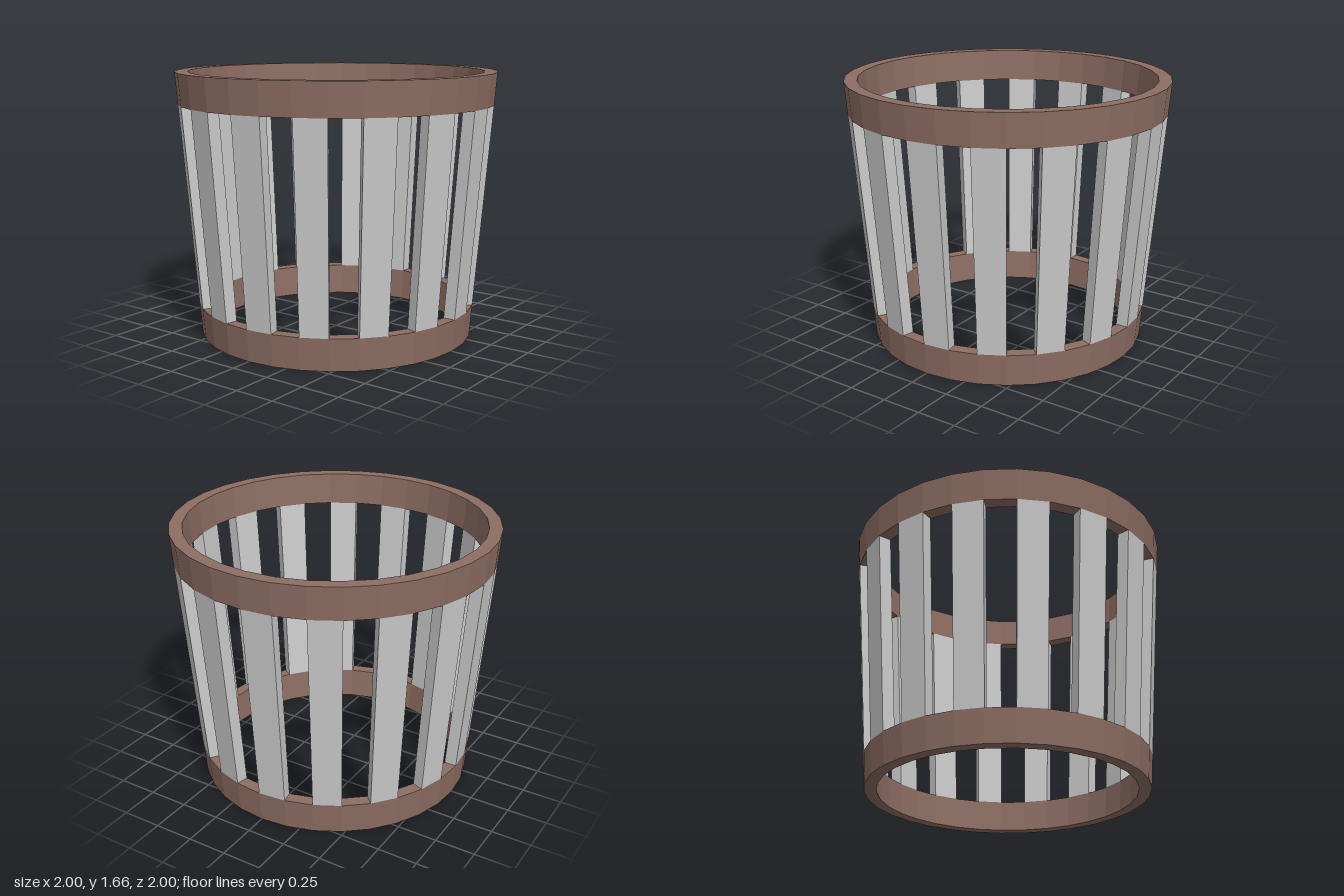
import * as THREE from 'three';

const HEIGHT = 1.66, BAND = 0.2, SIDES = 32;
const STEP = (Math.PI * 2) / SIDES;

// Tapered wall: outer and inner radius at a given height
const outer = (y) => 0.866 + (0.134 * y) / HEIGHT;
const inner = (y) => 0.79 + (0.13 * y) / HEIGHT;

// Faceted hoop following the wall between two heights
function hoop(name, y0, y1, material) {
  const profile = [
    [outer(y0), y0], [outer(y1), y1], [inner(y1), y1], [inner(y0), y0], [outer(y0), y0],
  ].map(([r, y]) => new THREE.Vector2(r, y));
  const geometry = new THREE.LatheGeometry(profile, SIDES).toNonIndexed();
  geometry.computeVertexNormals();
  const mesh = new THREE.Mesh(geometry, material);
  mesh.name = name;
  return mesh;
}

// One slat: a box bent onto a single facet of the wall, between the hoops
function slatGeometry() {
  const geometry = new THREE.BoxGeometry(1, 1, 1);
  const p = geometry.attributes.position;
  for (let i = 0; i < p.count; i++) {
    const y = p.getY(i) > 0 ? HEIGHT - BAND : BAND;
    const r = p.getZ(i) > 0 ? outer(y) : inner(y);
    const angle = (p.getX(i) + 0.5) * STEP;
    p.setXYZ(i, r * Math.sin(angle), y, r * Math.cos(angle));
  }
  const flat = geometry.toNonIndexed();
  flat.computeVertexNormals();
  return flat;
}

export function createModel() {
  const basket = new THREE.Group();
  basket.name = 'slattedBasket';
  const wood = new THREE.MeshStandardMaterial({ color: 0x8d6e63, flatShading: true });
  const grey = new THREE.MeshStandardMaterial({ color: 0xcccccc, flatShading: true });

  basket.add(hoop('bottomHoop', 0, BAND, wood));
  basket.add(hoop('topHoop', HEIGHT - BAND, HEIGHT, wood));

  // Slats on every other facet
  const slats = new THREE.Group();
  slats.name = 'slats';
  const geometry = slatGeometry();
  for (let i = 0; i < SIDES; i += 2) {
    const slat = new THREE.Mesh(geometry, grey);
    slat.name = 'slat';
    slat.rotation.y = i * STEP;
    slats.add(slat);
  }
  basket.add(slats);
  return basket;
}
